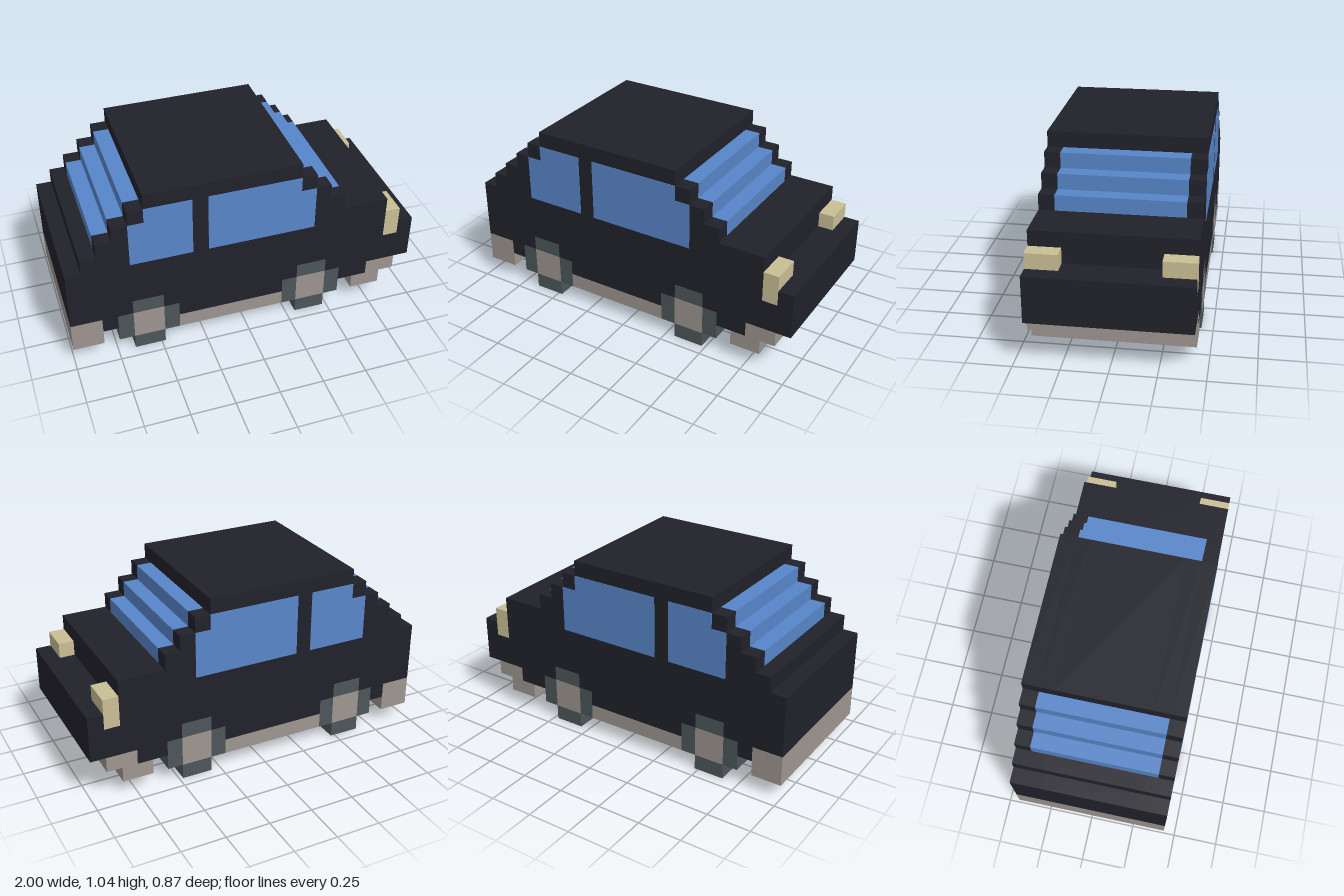
import * as THREE from 'three';

const U = 2 / 23; // one block; the car is 23 x 12 x 10 blocks
const flat = (name, color) => {
  const m = new THREE.MeshStandardMaterial({ color });
  m.name = name;
  return m;
};

export function createModel() {
  const car = new THREE.Group();
  car.name = 'car';
  const paint = flat('bodyPaint', 0x21212b);
  const glass = flat('windowGlass', 0x5886c9);
  const rubber = flat('tyreRubber', 0x4d565a);
  const trim = flat('greyTrim', 0x9e9590);
  const lamp = flat('lampCream', 0xcabf95);

  const add = (name, geo, mat, parent = car) => {
    const m = new THREE.Mesh(geo, mat);
    m.name = name;
    parent.add(m);
    return m;
  };

  // Box between block coordinates: x from the rear, y from the ground, z from the middle
  const box = (name, mat, x0, x1, y0, y1, z0, z1, parent) => {
    const g = new THREE.BoxGeometry((x1 - x0) * U, (y1 - y0) * U, (z1 - z0) * U);
    g.translate((x0 + x1) / 2 * U - 1, (y0 + y1) / 2 * U, (z0 + z1) / 2 * U);
    return add(name, g, mat, parent);
  };

  // Side outline in block coordinates, extruded across the car
  const slab = (name, mat, pts, z0, z1) => {
    const shape = new THREE.Shape(pts.map(([x, y]) => new THREE.Vector2(x * U - 1, y * U)));
    const g = new THREE.ExtrudeGeometry(shape, { depth: (z1 - z0) * U, bevelEnabled: false });
    g.translate(0, 0, z0 * U);
    return add(name, g, mat);
  };

  // Body outline pieces, running counter-clockwise from the rear underside
  const arch = x => [[x, 2], [x, 3], [x + 1, 3], [x + 1, 4], [x + 3, 4], [x + 3, 3], [x + 4, 3], [x + 4, 2]];
  const archedSill = [[2, 2], ...arch(3), ...arch(14), [20, 2]];
  const plainSill = [[2, 2], [20, 2]];
  const nose = [[20, 3], [23, 3], [23, 6]];
  const lampNotch = [[22, 6], [22, 5], [21, 5], [21, 8]];
  const plainNose = [[21, 6], [21, 8]];
  const steppedPillars = [[18, 8], [18, 9], [17, 9], [17, 10], [16, 10], [16, 11], [15, 11], [15, 12],
    [5, 12], [5, 11], [4, 11], [4, 10], [3, 10], [3, 9], [2, 9], [2, 8]];
  const cabin = [[17, 8], [17, 9], [16, 9], [16, 10], [15, 10], [15, 12],
    [5, 12], [5, 10], [4, 10], [4, 9], [3, 9], [3, 8]];
  const tail = [[1, 8], [1, 7], [0, 7], [0, 3], [2, 3]];

  // Body centre, between the wheels
  slab('bodyCentre', paint, [...plainSill, ...nose, ...plainNose, ...cabin, ...tail], -3, 3);

  // Windscreen and rear window steps
  for (let s = 0; s < 3; s++) {
    box('windscreenStep', glass, 17 - s, 18 - s, 8 + s, 9 + s, -4, 4);
    box('rearWindowStep', glass, 2 + s, 3 + s, 8 + s, 9 + s, -4, 4);
  }

  // Side window panes
  const rearPane = [[4, 7], [8, 7], [8, 11], [5, 11], [5, 10], [4, 10]];
  const frontPane = [[9, 7], [16, 7], [16, 10], [15, 10], [15, 11], [9, 11]];

  for (const [side, s] of [['left', 1], ['right', -1]]) {
    // Distances from the middle, placed on this side
    const span = (a, b) => (s > 0 ? [a, b] : [-b, -a]);
    slab(side + 'BodyShoulder', paint,
      [...archedSill, ...nose, ...lampNotch, ...cabin, ...tail], ...span(3, 4));
    slab(side + 'BodySide', paint,
      [...archedSill, ...nose, ...lampNotch, ...steppedPillars, ...tail], ...span(4, 5));
    slab(side + 'RearSideWindow', glass, rearPane, ...span(4.98, 5.03));
    slab(side + 'FrontSideWindow', glass, frontPane, ...span(4.98, 5.03));
    box(side + 'Headlight', lamp, 21, 22, 5, 7, ...span(3, 5));

    // Wheels: four tyre blocks around a hub
    for (const [end, x] of [['Rear', 3], ['Front', 14]]) {
      const wheel = new THREE.Group();
      wheel.name = side + end + 'Wheel';
      car.add(wheel);
      const z = span(3, 5);
      box('tyreBottom', rubber, x + 1, x + 3, 0, 1, ...z, wheel);
      box('tyreTop', rubber, x + 1, x + 3, 3, 4, ...z, wheel);
      box('tyreBack', rubber, x, x + 1, 1, 3, ...z, wheel);
      box('tyreFront', rubber, x + 3, x + 4, 1, 3, ...z, wheel);
      box('hub', trim, x + 1, x + 3, 1, 3, ...z, wheel);
    }
  }

  // Bumpers and underfloor
  box('rearBumper', trim, 0, 2, 1, 3, -5, 5);
  box('frontBumperUpper', trim, 20, 22, 2, 3, -5, 5);
  box('frontBumperLower', trim, 19, 21, 1, 2, -5, 5);
  box('underfloor', trim, 7, 14, 1, 2, -5, 5);

  return car;
}
